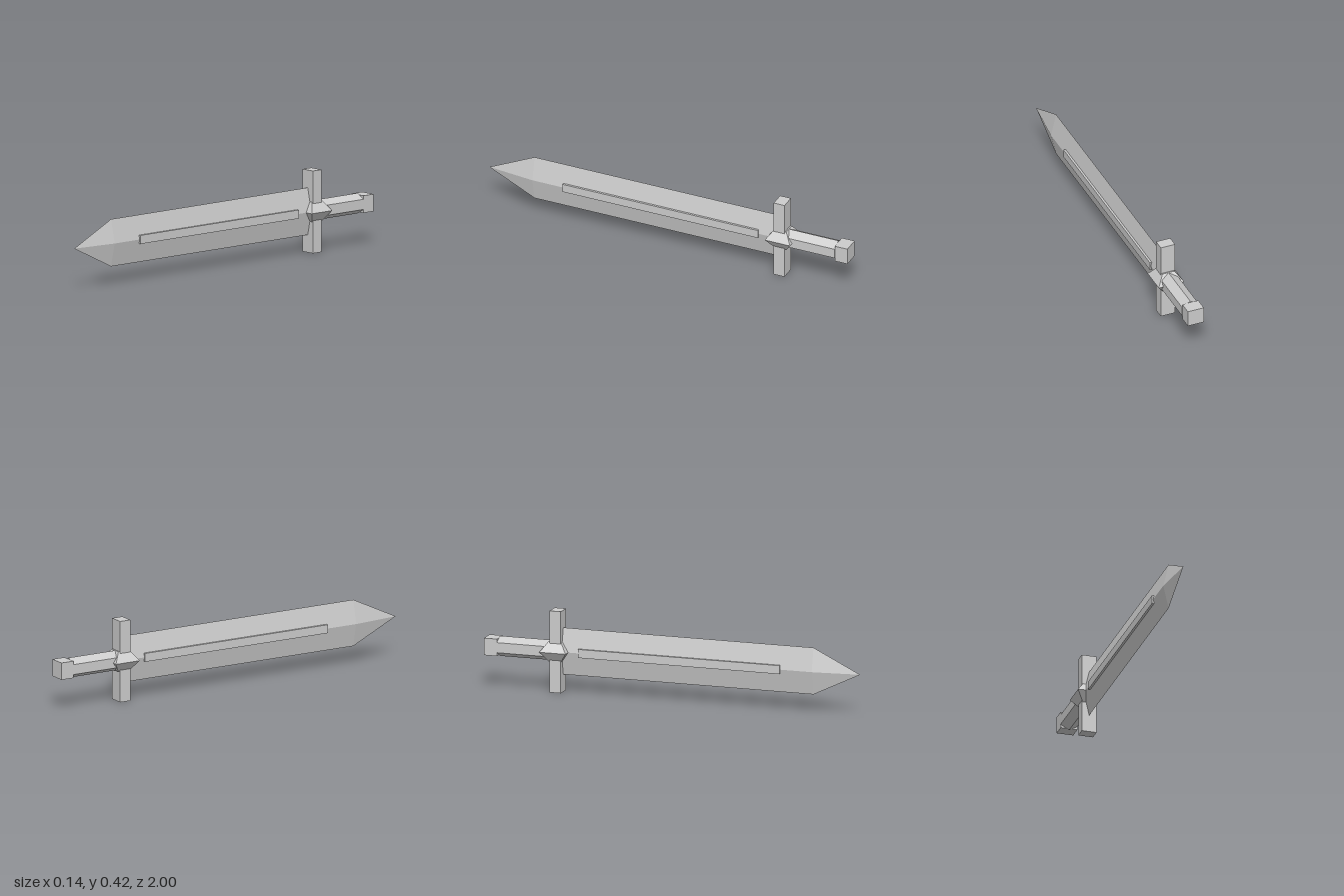
import * as THREE from 'three';

const MID_Y = 0.212; // height of the sword's long axis

export function createModel() {
  const sword = new THREE.Group();
  sword.name = 'sword';
  const steel = new THREE.MeshStandardMaterial({ color: 0xcccccc });
  steel.name = 'paleSteel';

  // Adds a faceted part centred on the sword's axis
  const add = (name, geometry, z) => {
    const flat = geometry.toNonIndexed();
    flat.computeVertexNormals();
    const mesh = new THREE.Mesh(flat, steel);
    mesh.name = name;
    mesh.position.set(0, MID_Y, z);
    sword.add(mesh);
  };
  const box = (name, w, h, z0, z1) =>
    add(name, new THREE.BoxGeometry(w, h, z1 - z0), (z0 + z1) / 2);
  // Prism or cone lying along z
  const prism = (name, sides, rx, ry, tipScale, z0, z1) =>
    add(name, new THREE.CylinderGeometry(tipScale, 1, z1 - z0, sides)
      .rotateX(Math.PI / 2).scale(rx, ry, 1), (z0 + z1) / 2);

  // Blade with diamond section, its point, and the raised rib on both sides
  prism('blade', 4, 0.028, 0.121, 1, -0.6, 0.75);
  prism('bladePoint', 4, 0.028, 0.121, 0, 0.75, 1);
  box('bladeRib', 0.068, 0.044, -0.5, 0.58);

  // Crossguard
  box('crossguard', 0.078, 0.422, -0.65, -0.59);

  // Bevelled collar: two square frusta joined at their wide ends
  const collar = (name, top, bottom, y) =>
    add(name, new THREE.CylinderGeometry(top * Math.SQRT2, bottom * Math.SQRT2, 0.052, 4)
      .rotateY(Math.PI / 4).translate(0, y, 0), -0.624);
  collar('collarUpper', 0.033, 0.07, 0.026);
  collar('collarLower', 0.07, 0.033, -0.026);

  // Hexagonal grip and square pommel
  prism('grip', 6, 0.052, 0.052, 1, -0.93, -0.64);
  box('pommel', 0.088, 0.088, -1, -0.93);

  return sword;
}
